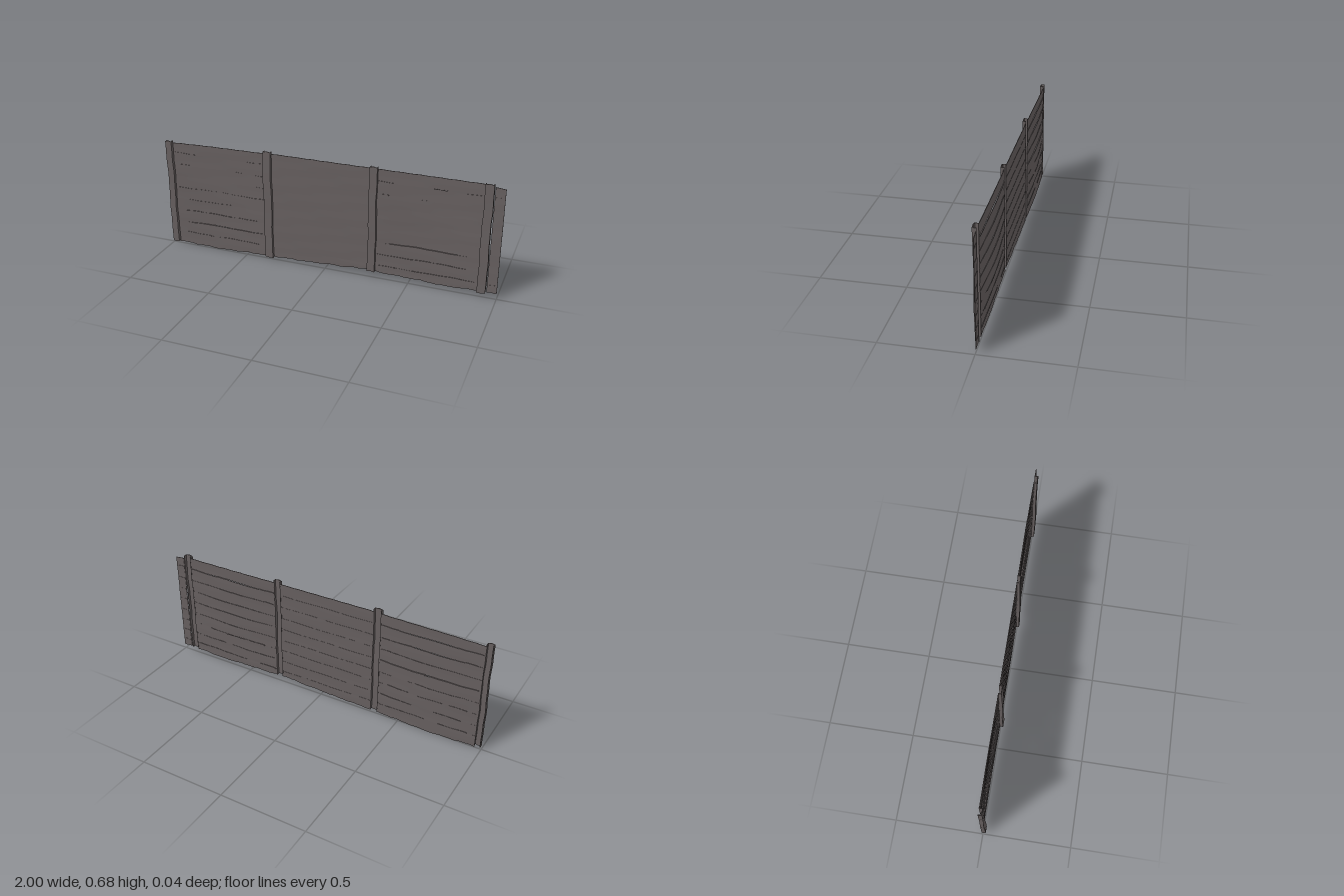
import * as THREE from 'three';

const wood = new THREE.MeshStandardMaterial({ color: 0x665f5f });
wood.name = 'weathered wood';

// Linear interpolation through [x, y] points
function along(points, x) {
  for (let i = 1; i < points.length; i++) {
    const [x0, y0] = points[i - 1], [x1, y1] = points[i];
    if (x <= x1) return y0 + (y1 - y0) * Math.max(0, (x - x0) / (x1 - x0));
  }
  return points[points.length - 1][1];
}

// Ragged lower edge and nearly straight upper edge of the boarding
const bottomLine = [[-1, 0.012], [-0.85, 0.007], [-0.68, 0.002], [-0.5, 0.011], [-0.35, 0.017], [-0.1, 0.023],
  [0.04, 0.031], [0.12, 0.032], [0.25, 0.045], [0.34, 0.036], [0.55, 0.032], [0.7, 0.024], [0.85, 0.031], [1, 0.032]];
const topLine = [[-1, 0.652], [-0.75, 0.659], [-0.4, 0.663], [-0.3, 0.667], [0.9, 0.665], [0.94, 0.654], [1, 0.65]];
const bottomAt = x => along(bottomLine, x) + 0.002 * Math.sin(x * 47) + 0.0015 * Math.sin(x * 113);
const topAt = x => along(topLine, x) + 0.001 * Math.sin(x * 61);
const seams = [0.08, 0.15, 0.225, 0.297, 0.373, 0.445, 0.52, 0.595];
const SHEET = -0.0045;

// Thin board shaped by its edges; bowAt(x, t) pushes it backwards, t running from lower to upper edge
function slab(name, x0, x1, low, high, depth, bowAt, segments, rows) {
  const geo = new THREE.BoxGeometry(1, 1, depth, segments, rows, 1);
  const p = geo.attributes.position;
  for (let i = 0; i < p.count; i++) {
    const x = x0 + (p.getX(i) + 0.5) * (x1 - x0);
    const t = p.getY(i) + 0.5;
    p.setXYZ(i, x, low(x) + t * (high(x) - low(x)), p.getZ(i) + SHEET - bowAt(x, t));
  }
  geo.computeVertexNormals();
  const mesh = new THREE.Mesh(geo, wood);
  mesh.name = name;
  return mesh;
}

// One bay of horizontal planks, with raised splits along the seams [seam, from x, to x]
function bay(name, x0, x1, bows, splits, segments) {
  const group = new THREE.Group();
  group.name = name;
  const arch = x => Math.pow(Math.max(0, Math.sin(Math.PI * (x - x0) / (x1 - x0))), 1.2);
  const seamAt = i => x => seams[i] + 0.0015 * Math.sin(x * 19 + i * 2.1);
  for (let i = 0; i <= seams.length; i++) {
    const low = i === 0 ? bottomAt : seamAt(i - 1);
    const high = i === seams.length ? topAt : seamAt(i);
    const bow = (x, t) => bows[i] * arch(x) + 0.0012 * t - 0.0004
      - 0.0008 * Math.sin(Math.PI * t) * Math.sin(x * 9 + i * 1.7);
    group.add(slab('plank', x0, x1, low, high, 0.003, bow, segments, 4));
  }
  for (const [i, from, to] of splits) {
    const half = x => 0.0008 + 0.0022 * Math.abs(Math.sin(x * 23 + i));
    const bow = x => (bows[i] + bows[i + 1]) / 2 * arch(x);
    const depth = 0.0055 + Math.abs(bows[i] - bows[i + 1]);
    group.add(slab('split', from, to, x => seamAt(i)(x) - half(x), x => seamAt(i)(x) + half(x), depth, bow, 16, 1));
  }
  return group;
}

// Upright post: a hollow channel standing proud of the boards, open at the back
function post(x0, x1, y0, y1, phase) {
  const group = new THREE.Group();
  group.name = 'post';
  const mid = (x0 + x1) / 2;
  const part = (name, a, b, back, front) => {
    const geo = new THREE.BoxGeometry(b - a, y1 - y0, front - back, 2, 20, 1);
    geo.translate((a + b) / 2, (y0 + y1) / 2, (back + front) / 2);
    const p = geo.attributes.position;
    for (let i = 0; i < p.count; i++) {
      const x = p.getX(i), y = p.getY(i), t = (y - y0) / (y1 - y0);
      const edge = Math.abs(x - mid) / (x1 - x0) * 2;
      const drop = t > 0.99 ? -0.005 * edge * edge : t < 0.01 ? 0.003 * Math.sin(x * 150 + phase) : 0;
      p.setX(i, x + 0.0018 * Math.sin(y * 17 + phase) + 0.001 * Math.sin(y * 43 + phase));
      p.setY(i, y + drop);
      p.setZ(i, p.getZ(i) + (p.getZ(i) > 0 ? 0.0015 * Math.sin(y * 13 + phase) : 0));
    }
    geo.computeVertexNormals();
    const mesh = new THREE.Mesh(geo, wood);
    mesh.name = name;
    group.add(mesh);
  };
  part('postFace', x0, x1, 0.010, 0.0145);
  part('postSide', x0, x0 + 0.004, -0.007, 0.0105);
  part('postSide', x1 - 0.004, x1, -0.007, 0.0105);
  return group;
}

export function createModel() {
  const model = new THREE.Group();
  model.name = 'woodenFence';

  // Three bays of planks; the outer two are bowed
  model.add(bay('rightBay', -0.963, -0.370,
    [0.002, 0.004, 0.009, 0.012, 0.013, 0.008, 0.007, 0.004, 0.001],
    [[0, -0.91, -0.74], [0, -0.66, -0.42], [1, -0.87, -0.71], [1, -0.58, -0.39], [2, -0.90, -0.80], [2, -0.76, -0.61],
      [2, -0.56, -0.43], [3, -0.88, -0.59], [4, -0.95, -0.68], [4, -0.65, -0.375], [5, -0.44, -0.385],
      [6, -0.93, -0.86], [6, -0.56, -0.52], [6, -0.43, -0.38], [7, -0.95, -0.82], [7, -0.48, -0.38]], 20));
  model.add(bay('middleBay', -0.330, 0.264, new Array(9).fill(0), [], 20));
  model.add(bay('leftBay', 0.301, 0.895,
    [0.001, 0.004, 0.007, 0.013, 0.012, 0.010, 0.008, 0.006, 0.001],
    [[0, 0.31, 0.42], [0, 0.52, 0.87], [1, 0.31, 0.62], [1, 0.66, 0.82], [2, 0.38, 0.77],
      [6, 0.32, 0.37], [6, 0.55, 0.60], [7, 0.31, 0.40], [7, 0.62, 0.70], [7, 0.80, 0.88]], 20));
  model.add(bay('endBoard', 0.943, 0.999, new Array(9).fill(0), [[0, 0.948, 0.99], [7, 0.948, 0.98]], 4));

  // Posts
  model.add(post(-0.998, -0.959, 0.013, 0.668, 0.4));
  model.add(post(-0.374, -0.326, 0.016, 0.684, 1.7));
  model.add(post(0.260, 0.305, 0.042, 0.682, 3.1));
  model.add(post(0.891, 0.939, 0.029, 0.676, 4.6));
  return model;
}
